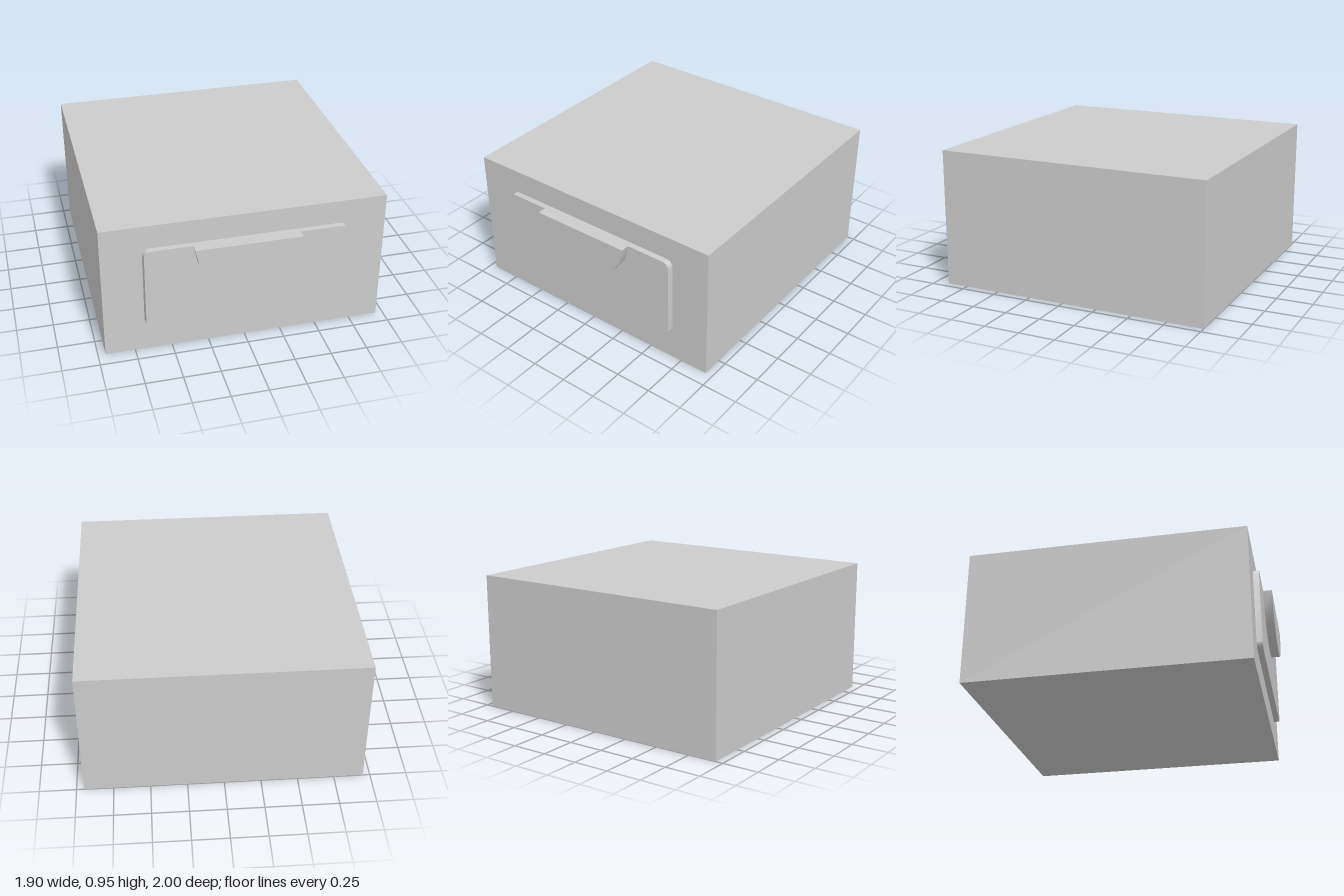
import * as THREE from 'three';
import { toCreasedNormals } from 'three/addons/utils/BufferGeometryUtils.js';

const FRONT = 0.9; // z of the cabinet's front face
const TOP = 0.785; // shared top edge of the drawer panel and its pull

export function createModel() {
  const group = new THREE.Group();
  const material = new THREE.MeshStandardMaterial({ color: 0xcccccc });
  const add = (name, geometry) => {
    const mesh = new THREE.Mesh(geometry, material);
    mesh.name = name;
    group.add(mesh);
    return mesh;
  };
  const extrude = (shape, depth, curveSegments) =>
    new THREE.ExtrudeGeometry(shape, { depth, curveSegments, bevelEnabled: false });

  // Plain box body
  add('cabinetBody', new THREE.BoxGeometry(1.9, 0.95, 1.9)).position.set(0, 0.475, -0.05);

  // Raised drawer panel with rounded corners
  const w = 0.68, bottom = 0.2, r = 0.045;
  const panel = new THREE.Shape();
  panel.absarc(w - r, bottom + r, r, -Math.PI / 2, 0);
  panel.absarc(w - r, TOP - r, r, 0, Math.PI / 2);
  panel.absarc(-w + r, TOP - r, r, Math.PI / 2, Math.PI);
  panel.absarc(-w + r, bottom + r, r, Math.PI, Math.PI * 1.5);
  panel.closePath();
  const panelGeometry = extrude(panel, 0.04, 3);
  // Draw the sides in slightly toward the front
  const p = panelGeometry.attributes.position;
  for (let i = 0; i < p.count; i++) {
    if (p.getZ(i) > 0.02) p.setX(i, p.getX(i) * 0.992);
  }
  add('drawerPanel', toCreasedNormals(panelGeometry, 0.7)).position.z = FRONT;

  // Half-oval pull, flush with the panel's top edge
  const pull = new THREE.Shape();
  const steps = 8;
  for (let i = 0; i <= steps; i++) {
    const a = Math.PI * (1 + i / steps);
    const x = 0.357 * Math.cos(a), y = TOP + 0.305 * Math.sin(a);
    if (i === 0) pull.moveTo(x, y);
    else pull.lineTo(x, y);
  }
  pull.closePath();
  add('drawerPull', toCreasedNormals(extrude(pull, 0.06, 1), 0.7)).position.z = FRONT + 0.04;

  return group;
}
